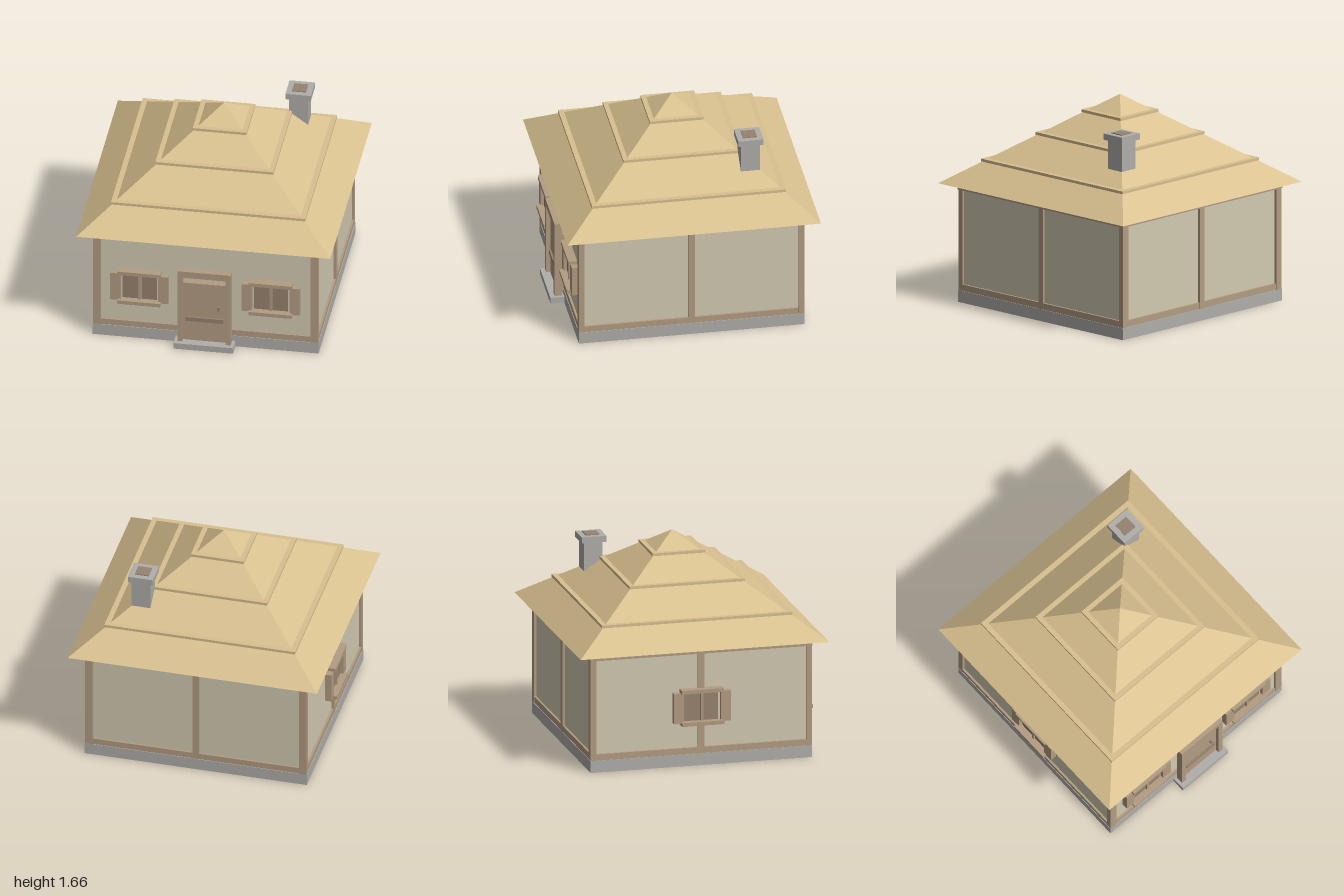
import * as THREE from 'three';

const mat = (color) => new THREE.MeshStandardMaterial({ color, flatShading: true });

export function createModel() {
  const house = new THREE.Group();
  house.name = 'cottage';
  const thatch = mat(0xd9c190), plaster = mat(0xd2cab2), wood = mat(0xb39c82);
  const stone = mat(0xb0aeaa), pane = mat(0x98826f);

  // Box given by its limits on each axis
  const box = (parent, name, m, x0, x1, y0, y1, z0, z1) => {
    const mesh = new THREE.Mesh(new THREE.BoxGeometry(x1 - x0, y1 - y0, z1 - z0), m);
    mesh.position.set((x0 + x1) / 2, (y0 + y1) / 2, (z0 + z1) / 2);
    mesh.name = name;
    parent.add(mesh);
    return mesh;
  };
  const square = (parent, name, m, half, y0, y1) =>
    box(parent, name, m, -half, half, y0, y1, -half, half);

  // Body: stone base, plaster walls, timber beams
  square(house, 'foundation', stone, 0.89, 0, 0.095);
  square(house, 'walls', plaster, 0.868, 0.09, 0.95);
  square(house, 'sillBeam', wood, 0.885, 0.095, 0.145);
  square(house, 'topBeam', wood, 0.893, 0.9, 0.952);

  // Corner posts and a middle post on the sides and back
  for (const sx of [-1, 1]) for (const sz of [-1, 1]) {
    const post = box(house, 'cornerPost', wood, -0.03, 0.03, 0.095, 0.93, -0.0225, 0.0225);
    post.position.x = sx * 0.857;
    post.position.z = sz * 0.867;
  }
  for (const sx of [-1, 1]) {
    const post = box(house, 'middlePost', wood, -0.0125, 0.0125, 0.095, 0.93, -0.025, 0.025);
    post.position.x = sx * 0.875;
  }
  box(house, 'middlePost', wood, -0.025, 0.025, 0.095, 0.93, -0.888, -0.86);

  // Pyramid roof with three thatch ridges
  const roofGeo = new THREE.ConeGeometry(Math.SQRT2, 0.71, 4, 1);
  roofGeo.rotateY(Math.PI / 4);
  const roof = new THREE.Mesh(roofGeo, thatch);
  roof.name = 'roof';
  roof.position.y = 0.95 + 0.355;
  house.add(roof);
  for (const [half, y] of [[0.765, 1.124], [0.465, 1.335], [0.212, 1.515]])
    square(house, 'roofBand', thatch, half, y, y + 0.022);

  // Chimney
  const chimney = new THREE.Group();
  chimney.name = 'chimney';
  chimney.position.set(0.515, 0, -0.515);
  square(chimney, 'chimneyShaft', stone, 0.075, 1.2, 1.48);
  square(chimney, 'chimneyCap', stone, 0.1, 1.475, 1.524);
  square(chimney, 'flue', pane, 0.055, 1.51, 1.53);
  house.add(chimney);

  // Window with shutters; z = 0 is the wall face
  const addWindow = (x, z, turn) => {
    const w = new THREE.Group();
    w.name = 'window';
    w.position.set(x, 0, z);
    w.rotation.y = turn;
    box(w, 'windowFrame', plaster, -0.15, 0.15, 0.35, 0.6, -0.01, 0.02);
    for (const s of [-1, 1]) {
      const glass = box(w, 'pane', pane, -0.061, 0.061, 0.36, 0.595, 0, 0.026);
      glass.position.x = s * 0.073;
      const shutter = box(w, 'shutter', wood, -0.04, 0.04, 0.352, 0.595, 0, 0.052);
      shutter.position.x = s * 0.188;
    }
    box(w, 'mullion', wood, -0.01, 0.01, 0.36, 0.595, 0, 0.04);
    box(w, 'lintel', wood, -0.17, 0.17, 0.592, 0.622, 0, 0.07);
    box(w, 'windowSill', wood, -0.17, 0.17, 0.335, 0.365, 0, 0.082);
    house.add(w);
  };
  addWindow(-0.517, 0.868, 0);
  addWindow(0.517, 0.868, 0);
  addWindow(-0.868, 0, -Math.PI / 2);

  // Front door, its frame and step
  const door = new THREE.Group();
  door.name = 'door';
  box(door, 'doorLeaf', wood, -0.17, 0.17, 0.003, 0.57, 0.86, 0.93);
  box(door, 'doorRail', pane, -0.148, 0.148, 0.23, 0.265, 0.92, 0.945);
  box(door, 'doorHandle', pane, 0.102, 0.12, 0.345, 0.377, 0.92, 0.95);
  for (const s of [-1, 1]) {
    const jamb = box(door, 'doorJamb', wood, -0.02, 0.02, 0.04, 0.64, 0.905, 0.963);
    jamb.position.x = s * 0.19;
  }
  box(door, 'doorHead', wood, -0.21, 0.21, 0.635, 0.69, 0.905, 0.963);
  box(door, 'step', stone, -0.235, 0.235, 0, 0.05, 0.885, 1);
  house.add(door);

  return house;
}
